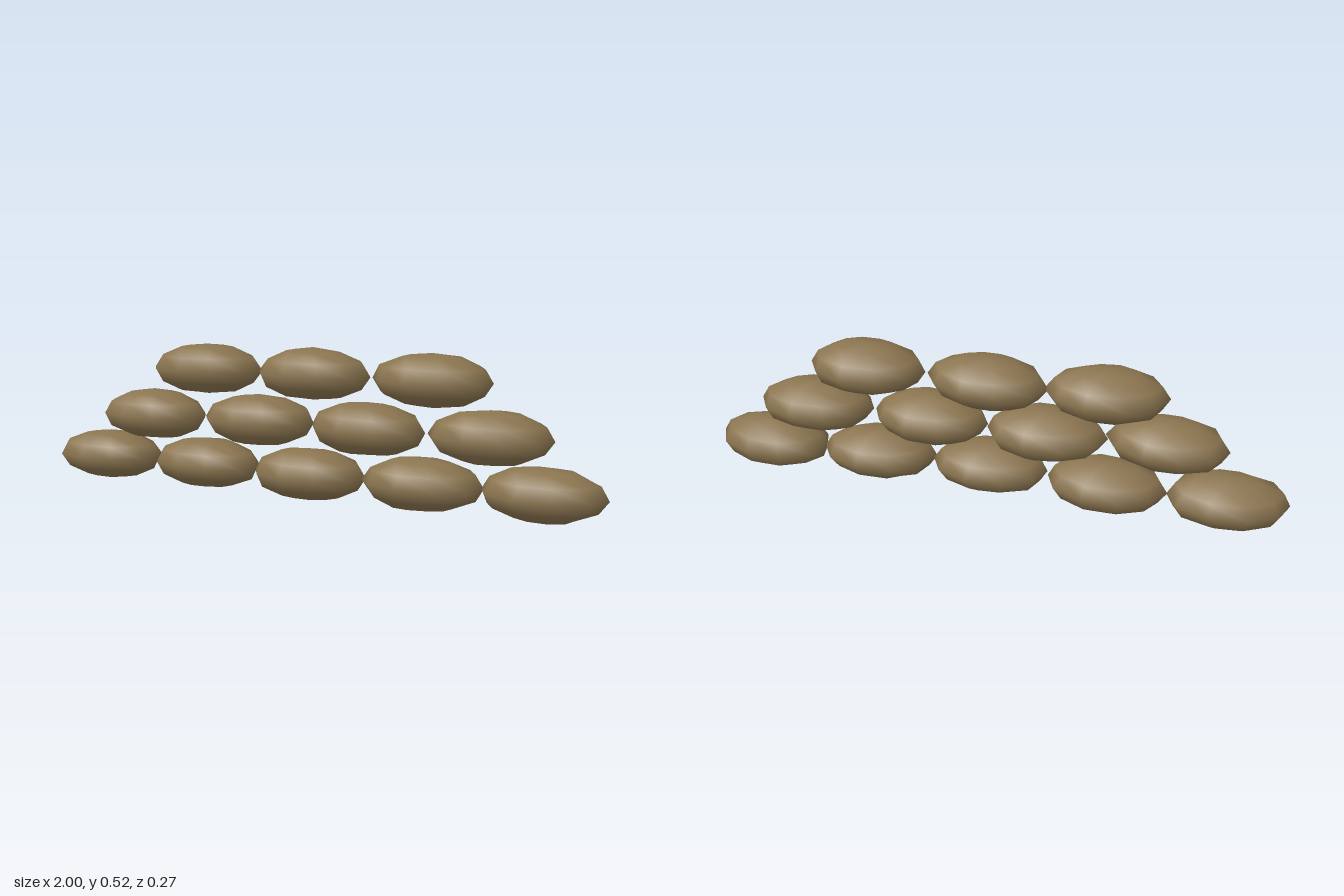
import * as THREE from 'three';
import { mergeVertices } from 'three/addons/utils/BufferGeometryUtils.js';

// small seeded generator, returns -1..1
function makeRandom(seed) {
  let s = seed;
  return () => {
    s = (s * 16807) % 2147483647;
    return (s / 2147483647) * 2 - 1;
  };
}

// one stuffed bag: a coarse ellipsoid with slightly lumpy vertices, smooth shaded
function bagGeometry(seed) {
  const rand = makeRandom(seed);
  const sphere = new THREE.SphereGeometry(1, 10, 6);
  sphere.deleteAttribute('uv');
  sphere.deleteAttribute('normal');
  const geo = mergeVertices(sphere, 1e-3);
  const p = geo.attributes.position;
  for (let i = 0; i < p.count; i++) {
    const k = 1 + rand() * 0.025;
    p.setXYZ(i, p.getX(i) * k * 0.202, p.getY(i) * k * 0.0875, p.getZ(i) * k * 0.125);
  }
  geo.computeVertexNormals();
  return geo;
}

export function createModel() {
  const group = new THREE.Group();
  group.name = 'sandbagWall';
  const burlap = new THREE.MeshStandardMaterial({ color: 0x8b7550 });
  burlap.name = 'burlap';

  // each row: height of the centres, then [x, z, yaw] per bag
  const rows = [
    { y: 0.092, bags: [[-0.8, -0.016, 0.05], [-0.4, -0.018, -0.04], [0.005, 0.008, 0.02], [0.4, 0.004, 0.06], [0.79, -0.006, -0.05]] },
    { y: 0.26, bags: [[-0.59, 0.014, -0.05], [-0.19, -0.014, 0.04], [0.21, 0.0, -0.03], [0.62, -0.005, 0.03]] },
    { y: 0.429, bags: [[-0.385, -0.006, 0.06], [0.01, -0.015, -0.04], [0.425, -0.01, 0.03]] },
  ];

  rows.forEach((row, r) => {
    const course = new THREE.Group();
    course.name = ['bottomCourse', 'middleCourse', 'topCourse'][r];
    row.bags.forEach(([x, z, yaw], i) => {
      const bag = new THREE.Mesh(bagGeometry(1000003 * (r * 5 + i + 1)), burlap);
      bag.name = 'sandbag';
      bag.position.set(x, row.y, z);
      bag.rotation.y = yaw;
      course.add(bag);
    });
    group.add(course);
  });
  return group;
}
